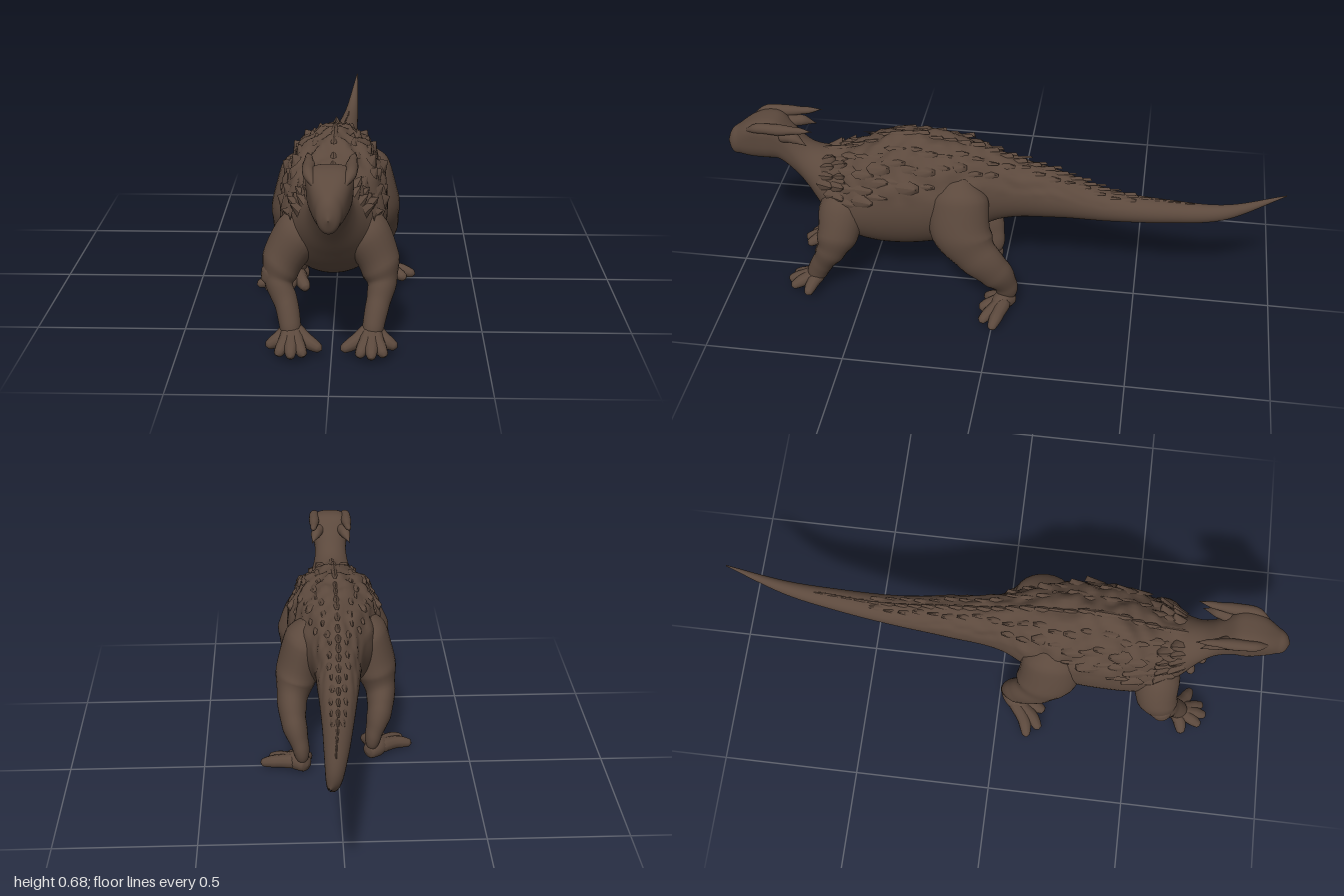
import * as THREE from 'three';

const hide = new THREE.MeshStandardMaterial({ color: 0x5c493d });
hide.name = 'brown hide';
const step = THREE.MathUtils.smoothstep;

// Closed surface swept from rings: point(u, angle) -> Vector3
function sweep(name, point, rings, sides) {
  const pos = [], index = [];
  for (let i = 0; i <= rings; i++)
    for (let j = 0; j < sides; j++) pos.push(...point(i / rings, (j / sides) * Math.PI * 2).toArray());
  for (let i = 0; i < rings; i++)
    for (let j = 0; j < sides; j++) {
      const a = i * sides + j, b = i * sides + (j + 1) % sides, c = a + sides, d = b + sides;
      index.push(a, b, c, b, d, c);
    }
  const geo = new THREE.BufferGeometry();
  geo.setAttribute('position', new THREE.Float32BufferAttribute(pos, 3));
  geo.setIndex(index);
  geo.computeVertexNormals();
  const mesh = new THREE.Mesh(geo, hide);
  mesh.name = name;
  return mesh;
}

// Rounded limb through [x, y, z, radius] points, optionally flattened sideways
function limb(name, pts, flat = 1, rings = 24, sides = 16) {
  const curve = new THREE.CatmullRomCurve3(pts.map(p => new THREE.Vector3(p[0], p[1], p[2])));
  const frames = curve.computeFrenetFrames(rings, false);
  const last = pts.length - 1;
  return sweep(name, (u, a) => {
    const i = Math.min(last - 1, Math.floor(u * last));
    const s = step(u * last - i, 0, 1);
    const r = (pts[i][3] * (1 - s) + pts[i + 1][3] * s) * Math.sqrt(Math.max(1e-5, 1 - Math.abs(2 * u - 1) ** 9));
    const k = Math.round(u * rings);
    const off = frames.normals[k].clone().multiplyScalar(Math.cos(a) * r)
      .addScaledVector(frames.binormals[k], Math.sin(a) * r);
    off.x *= flat;
    return curve.getPoint(u).add(off);
  }, rings, sides);
}

// Body sections from tail tip to snout: z, top, bottom, half width
const sections = [
  [-1.0, 0.557, 0.553, 0.002],
  [-0.8, 0.479, 0.422, 0.024],
  [-0.6, 0.465, 0.380, 0.040],
  [-0.4, 0.475, 0.360, 0.054],
  [-0.2, 0.535, 0.352, 0.073],
  [0.0, 0.590, 0.325, 0.098],
  [0.1, 0.620, 0.275, 0.140],
  [0.2, 0.643, 0.228, 0.168],
  [0.4, 0.640, 0.196, 0.180],
  [0.5, 0.595, 0.213, 0.172],
  [0.58, 0.565, 0.255, 0.145],
  [0.65, 0.562, 0.335, 0.105],
  [0.7, 0.582, 0.400, 0.075],
  [0.75, 0.630, 0.460, 0.062],
  [0.8, 0.676, 0.512, 0.068],
  [0.85, 0.682, 0.516, 0.071],
  [0.9, 0.668, 0.513, 0.060],
  [0.95, 0.635, 0.514, 0.043],
  [0.985, 0.603, 0.522, 0.026],
  [1.0, 0.562, 0.560, 0.0005],
];
const profile = new THREE.CubicInterpolant(sections.map(s => s[0]), sections.flatMap(s => s.slice(1)), 3, new Float32Array(3));

// Point on the hide: the tail bends left, the head is square and widest on top,
// the chest is widest low down, and the back is wrinkled into lengthwise folds
function hidePoint(z, a) {
  const [top, bottom, half] = profile.evaluate(z);
  const c = Math.cos(a), s = Math.sin(a);
  const head = step(z, 0.72, 0.82) * (1 - step(z, 0.88, 0.99));
  const chest = step(z, 0.45, 0.6) * (1 - step(z, 0.65, 0.75));
  const centre = 0.06 * Math.max(0, -z) ** 1.6;
  const back = step(z, -0.6, 0.1) * (1 - step(z, 0.6, 0.67)) * step(s, 0.15, 0.45);
  const folds = Math.sin(11 * Math.abs(a - Math.PI / 2) + 1.6 * Math.sin(z * 23)) * 0.6
    + Math.sin(z * 61 + 3 * Math.sin(a * 5)) * 0.3 + Math.sin(z * 97 - a * 9) * 0.25;
  const k = 1 + 0.05 * back * folds;
  const bend = v => Math.sign(v) * Math.abs(v) ** (2 / (2 + head));
  return new THREE.Vector3(
    centre + bend(c) * half * k * (1 + (0.18 * head - 0.13 * chest) * s),
    (top + bottom) / 2 + bend(s) * (top - bottom) / 2 * k, z);
}

// Low horny plate with its tip swept to the rear
const scuteShape = new THREE.ConeGeometry(1, 1, 7, 3);
{
  const p = scuteShape.attributes.position;
  for (let i = 0; i < p.count; i++) p.setZ(i, p.getZ(i) - (p.getY(i) + 0.5) * 0.75);
  scuteShape.translate(0, 0.25, 0);
  scuteShape.computeVertexNormals();
}
function scute(name, z, angle, w, h, len) {
  const m = new THREE.Mesh(scuteShape, hide);
  m.name = name;
  m.position.copy(hidePoint(z, angle));
  m.rotation.z = angle - Math.PI / 2;
  m.scale.set(w, h, len);
  return m;
}

export function createModel() {
  const model = new THREE.Group();
  model.name = 'armoured reptile';

  // Rings crowd toward the snout so that it closes roundly
  model.add(sweep('body', (u, a) => hidePoint(-1 + 2 * Math.sin(u * Math.PI / 2), a), 240, 64));

  // Spine ridge, long low keels down the flanks and a ragged shoulder edge
  const armour = new THREE.Group();
  armour.name = 'backArmour';
  for (let i = 0; i < 26; i++) {
    const f = Math.min(1, 1.75 - i / 18);
    armour.add(scute('spineScute', 0.6 - i * 0.05, Math.PI / 2, 0.012 * f, 0.014 * f, 0.05));
  }
  [[66, 20, 0.013], [47, 11, 0.022], [30, 7, 0.026], [14, 4, 0.024]].forEach(([deg, n, w], row) => {
    for (let i = 0; i < n; i++) {
      const f = 1.1 - 0.5 * i / n + 0.25 * Math.sin(i * 2.4 + row);
      const angle = THREE.MathUtils.degToRad(deg + 4 * Math.sin(i * 1.7 + row));
      for (const a of [angle, Math.PI - angle])
        armour.add(scute('flankScute', 0.58 - i * 0.054, a, w * f, w * f * 0.8, 0.045));
    }
  });
  for (let i = 0; i < 8; i++) {
    const angle = THREE.MathUtils.degToRad(62 - i * 7), z = 0.62 - (i % 2) * 0.045;
    for (const a of [angle, Math.PI - angle])
      armour.add(scute('shoulderScute', z, a, 0.026, 0.036, 0.036));
  }
  model.add(armour);

  for (const s of [1, -1]) {
    const left = s > 0, side = left ? 'left' : 'right';
    const add = (name, pts, flat, rings, sides) =>
      model.add(limb(side + name, pts.map(([x, y, z, r]) => [x * s, y, z, r]), flat, rings, sides));

    // Brow edge running back into a horn, with a shorter cheek horn below
    add('BrowHorn', [[0.045, 0.64, 0.915, 0.008], [0.063, 0.664, 0.86, 0.018], [0.065, 0.665, 0.79, 0.02],
      [0.068, 0.669, 0.72, 0.013], [0.075, 0.674, 0.66, 0.002]]);
    add('CheekHorn', [[0.045, 0.63, 0.79, 0.026], [0.058, 0.632, 0.74, 0.02], [0.075, 0.612, 0.685, 0.002]]);

    // Front leg flowing out of the chest; the right elbow is bent further out
    const out = left ? 0 : 0.012;
    add('FrontLeg', [[0.05, 0.47, 0.56, 0.05], [0.11, 0.375, 0.565, 0.085], [0.155 + out, 0.28, 0.58, 0.074],
      [0.163 + out, 0.22, 0.605, 0.053], [0.148, 0.16, 0.64, 0.042], [0.135, 0.10, 0.67, 0.039], [0.128, 0.05, 0.69, 0.036]], 0.92, 36, 24);
    if (!left) add('Elbow', [[0.165, 0.29, 0.58, 0.05], [0.19, 0.245, 0.60, 0.044], [0.215, 0.212, 0.61, 0.028]]);
    for (const [x, z] of [[0.03, 0.725], [0.086, 0.775], [0.128, 0.79], [0.172, 0.77], [0.212, 0.70]])
      add('FrontToe', [[0.13, 0.085, 0.665, 0.03], [0.058 + x * 0.55, 0.053, 0.306 + z * 0.55, 0.023], [x, 0.033, z, 0.015]], 1, 14, 10);

    // Hind leg: the right one is set further forward with its ankle drawn back
    const [hip, knee, ankle, foot] = left ? [0, 0, 0, 0] : [0.05, 0.075, 0.085, 0.12];
    add('Thigh', [[0.085, 0.56, 0.14 + hip, 0.05], [0.118, 0.46, 0.135 + hip, 0.108], [0.148, 0.34, 0.125 + hip, 0.11],
      [0.168, 0.25, 0.06 + knee, 0.08], [0.16, 0.18, knee, 0.066],
      [0.138, 0.11, -0.035 + ankle, 0.046], [0.13, 0.04, -0.04 + ankle, 0.04]], 0.7, 40, 24);
    add('HindFoot', [[0.112, 0.038, -0.06 + ankle, 0.03], [0.15, 0.042, -0.025 + ankle, 0.037], [0.19, 0.032, foot, 0.026]]);
    for (const [x, z] of [[0.29, 0.0], [0.255, 0.045], [0.18, 0.058], [0.105, 0.045]])
      add('HindToe', [[0.145, 0.045, -0.035 + ankle, 0.03], [0.058 + x * 0.6, 0.033, -0.014 + z * 0.6 + foot, 0.024],
        [x, 0.018, z + foot, 0.016]], 1, 14, 10);
  }
  return model;
}
